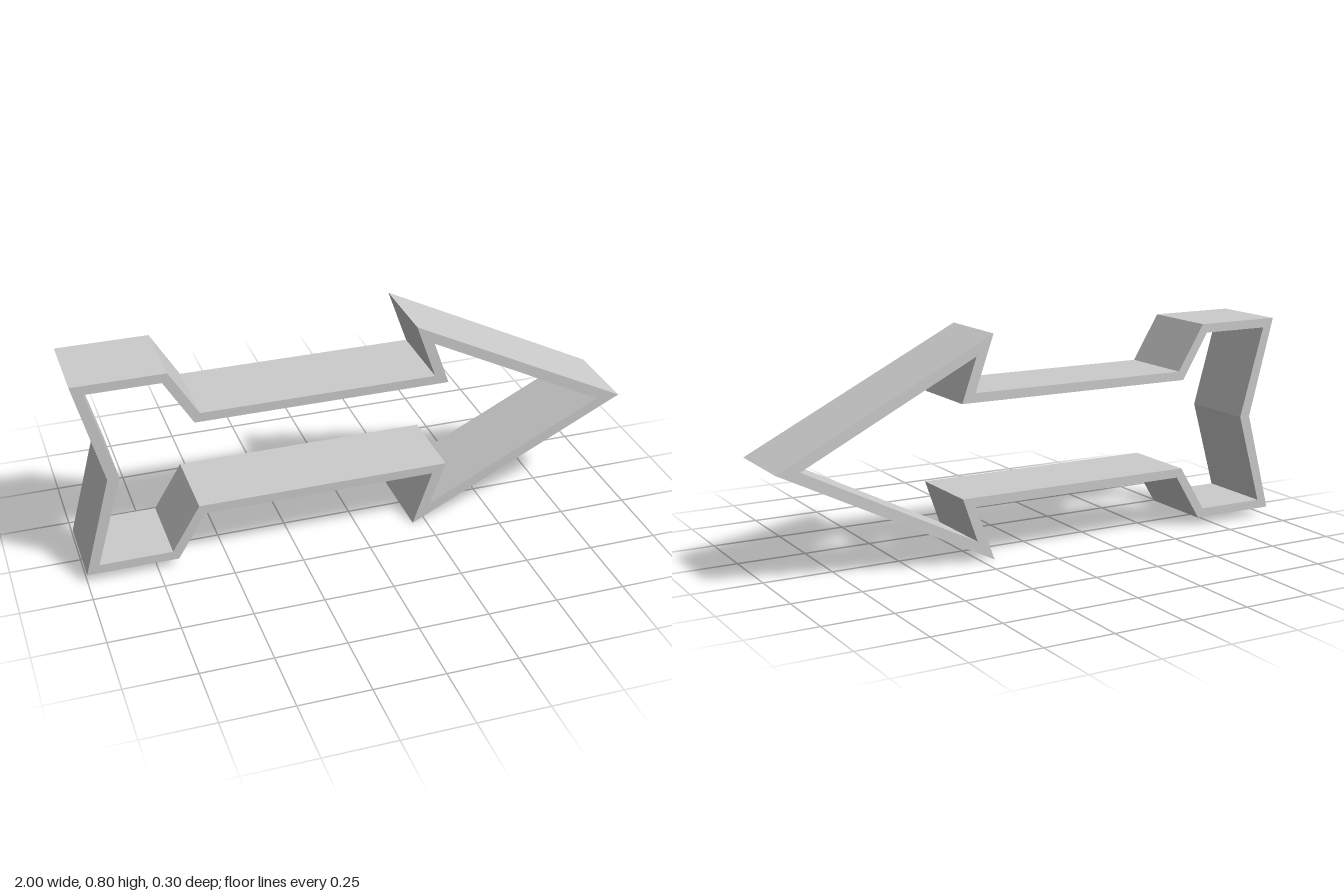
import * as THREE from 'three';

const MID = 0.4;     // height of the mirror axis
const DEPTH = 0.296;

// Closed outline from its upper half (tip to tail notch), mirrored about MID.
function outline(upper) {
  const lower = upper.slice(1, -1).reverse().map(([x, y]) => [x, 2 * MID - y]);
  return [...upper, ...lower].map(([x, y]) => new THREE.Vector2(x, y));
}

export function createModel() {
  const group = new THREE.Group();
  group.name = 'arrow';

  // Outer edge: tip, barb, shaft, tail fin, notch
  const shape = new THREE.Shape(outline([
    [1, MID], [0.2, 0.8], [0.271, 0.6], [-0.573, 0.6],
    [-0.675, 0.768], [-1, 0.768], [-0.902, MID],
  ]));

  // Inner edge, leaving a thin wall of even thickness
  shape.holes.push(new THREE.Path(outline([
    [0.914, MID], [0.266, 0.726], [0.322, 0.567], [-0.593, 0.567],
    [-0.695, 0.735], [-0.955, 0.735], [-0.86, MID],
  ])));

  const geometry = new THREE.ExtrudeGeometry(shape, { depth: DEPTH, bevelEnabled: false });
  geometry.translate(0, 0, -DEPTH / 2);

  const frame = new THREE.Mesh(
    geometry,
    new THREE.MeshStandardMaterial({ color: 0xcccccc, flatShading: true }),
  );
  frame.name = 'arrowFrame';
  group.add(frame);
  return group;
}
